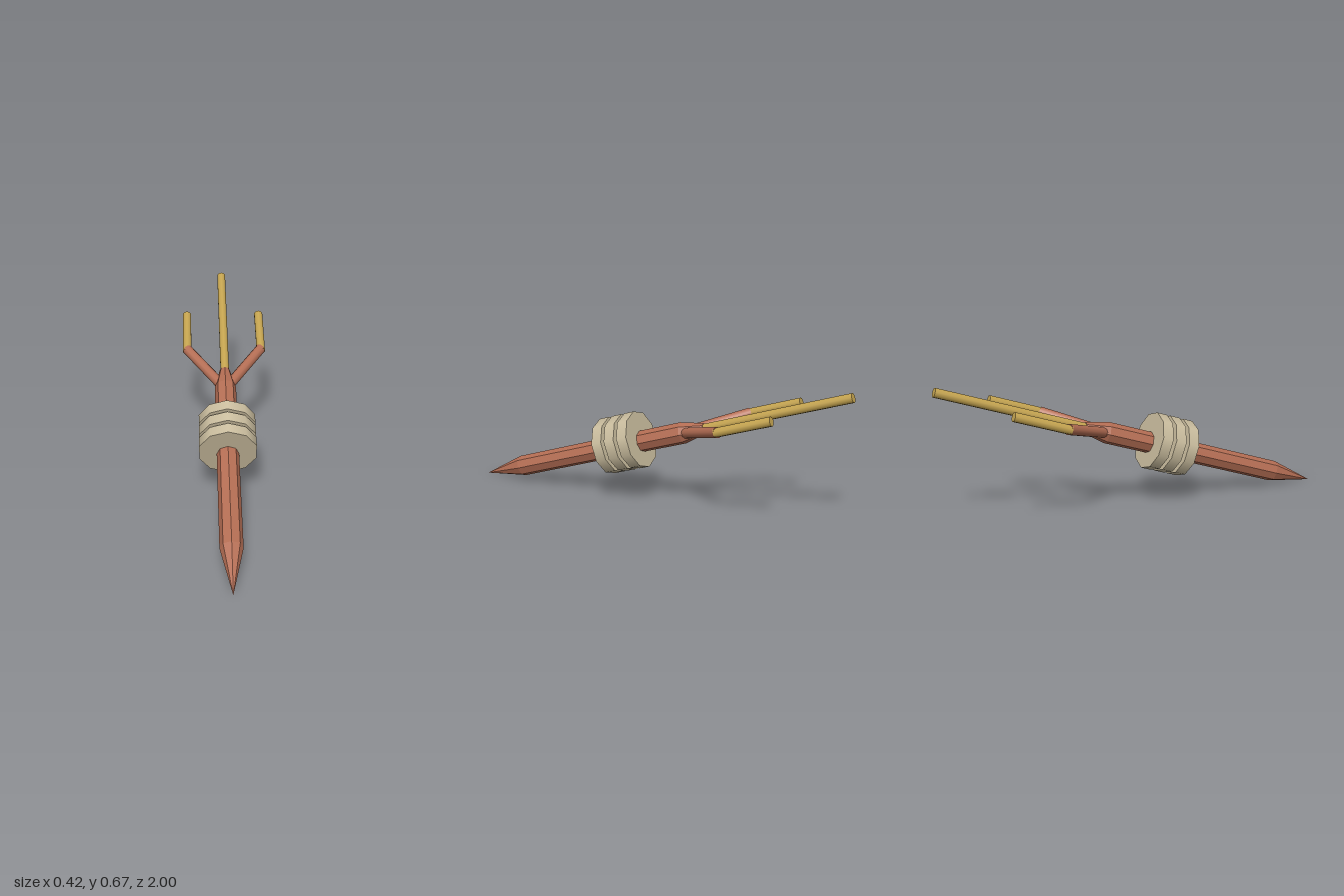
import * as THREE from 'three';

export function createModel() {
  const mat = (name, color) => {
    const m = new THREE.MeshStandardMaterial({ color });
    m.name = name;
    return m;
  };
  const wood = mat('reddish brown', 0xb56e54);
  const bone = mat('pale tan', 0xcbbe9f);
  const gold = mat('dull gold', 0xc6a550);

  // Everything is laid out along local +y, from the point; local +z becomes up
  const tool = new THREE.Group();
  tool.name = 'trident';
  tool.position.set(0, 0, 1);
  tool.rotation.x = 0.316 - Math.PI / 2;

  const add = (name, geometry, material) => {
    const mesh = new THREE.Mesh(geometry, material);
    mesh.name = name;
    tool.add(mesh);
    return mesh;
  };

  // Ten-sided smooth rod between two points in the local xy plane
  const rod = (name, r, x0, y0, x1, y1, material) => {
    const length = Math.hypot(x1 - x0, y1 - y0);
    const mesh = add(name, new THREE.CylinderGeometry(r, r, length, 10), material);
    mesh.position.set((x0 + x1) / 2, (y0 + y1) / 2, 0);
    mesh.rotation.z = -Math.atan2(x1 - x0, y1 - y0);
    return mesh;
  };

  // Faceted shaft with a sharp point and a tapered rear end
  const profile = [[0, 0], [0.053, 0.242], [0.053, 1.226], [0.026, 1.345], [0, 1.345]]
    .map(([r, y]) => new THREE.Vector2(r, y));
  const shaft = new THREE.LatheGeometry(profile, 8).toNonIndexed();
  shaft.computeVertexNormals();
  add('shaft', shaft, wood);

  // Three collar discs, set slightly above the shaft's axis
  for (let i = 0; i < 3; i++) {
    const y = 0.815 + i * 0.0735;
    rod('collarDisc', 0.142, 0, y - 0.0278, 0, y + 0.0278, bone).position.z = 0.011;
  }

  // Long middle prong, and a branching arm with a short prong on each side
  rod('middleProng', 0.0225, 0, 1.3, 0, 2.096, gold);
  for (const [side, s] of [['left', 1], ['right', -1]]) {
    rod(side + 'Arm', 0.026, 0, 1.214, s * 0.19, 1.506, wood);
    rod(side + 'Prong', 0.0225, s * 0.19, 1.49, s * 0.19, 1.775, gold);
  }

  const model = new THREE.Group();
  model.name = 'model';
  model.add(tool);
  return model;
}
